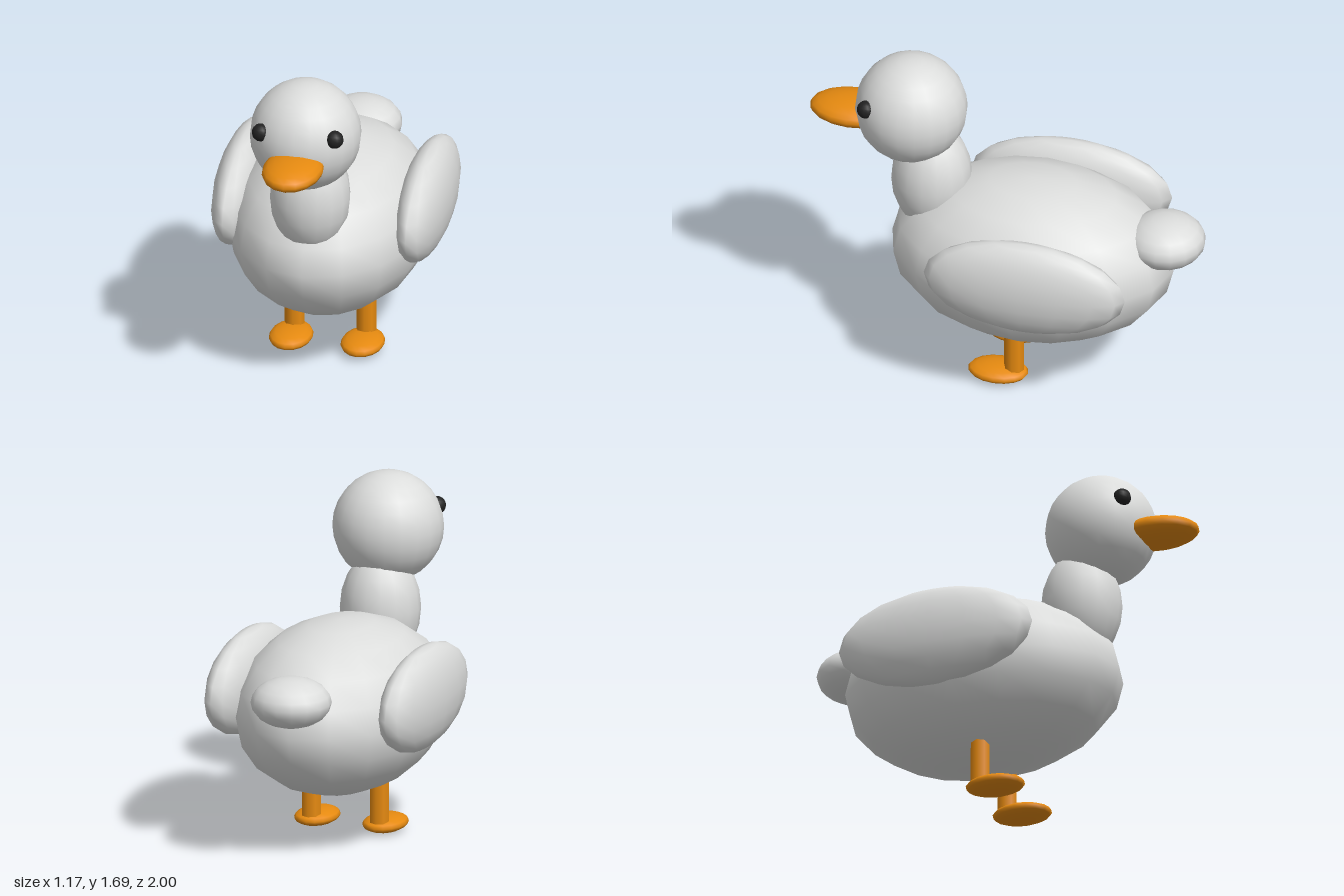
import * as THREE from 'three';

function mat(name, color) {
  const m = new THREE.MeshStandardMaterial({ color });
  m.name = name;
  return m;
}

export function createModel() {
  const plumage = mat('pale grey plumage', 0xdcdddc);
  const orange = mat('orange', 0xe68a10);
  const black = mat('eye black', 0x222222);

  const duck = new THREE.Group();
  duck.name = 'duck';

  const add = (name, geometry, material, position) => {
    const mesh = new THREE.Mesh(geometry, material);
    mesh.name = name;
    mesh.position.set(...position);
    duck.add(mesh);
  };

  // Smooth ellipsoid given by its three radii
  const ellipsoid = (name, radii, position, material, w = 16, h = 10) =>
    add(name, new THREE.SphereGeometry(1, w, h).scale(...radii), material, position);

  // Trunk, neck, head and tail
  ellipsoid('body', [0.5, 0.433, 0.713], [0, 0.66, -0.13], plumage);
  ellipsoid('neck', [0.2, 0.29, 0.2], [0, 1.02, 0.385], plumage);
  ellipsoid('head', [0.275, 0.277, 0.277], [0, 1.408, 0.488], plumage, 20, 14);
  ellipsoid('tail', [0.2, 0.125, 0.2], [0, 0.84, -0.8], plumage);

  // Flat rounded bill
  ellipsoid('beak', [0.15, 0.065, 0.22], [0, 1.35, 0.78], orange);

  // Paired parts
  for (const [side, s] of [['left', 1], ['right', -1]]) {
    ellipsoid(side + 'Wing', [0.125, 0.255, 0.51], [s * 0.46, 0.76, -0.205], plumage);
    ellipsoid(side + 'Eye', [0.045, 0.045, 0.045], [s * 0.185, 1.482, 0.67], black, 12, 10);
    add(side + 'Leg', new THREE.CylinderGeometry(0.05, 0.05, 0.36, 8), orange, [s * 0.18, 0.23, -0.08]);
    ellipsoid(side + 'Foot', [0.108, 0.041, 0.152], [s * 0.18, 0.041, 0], orange, 16, 8);
  }
  return duck;
}
